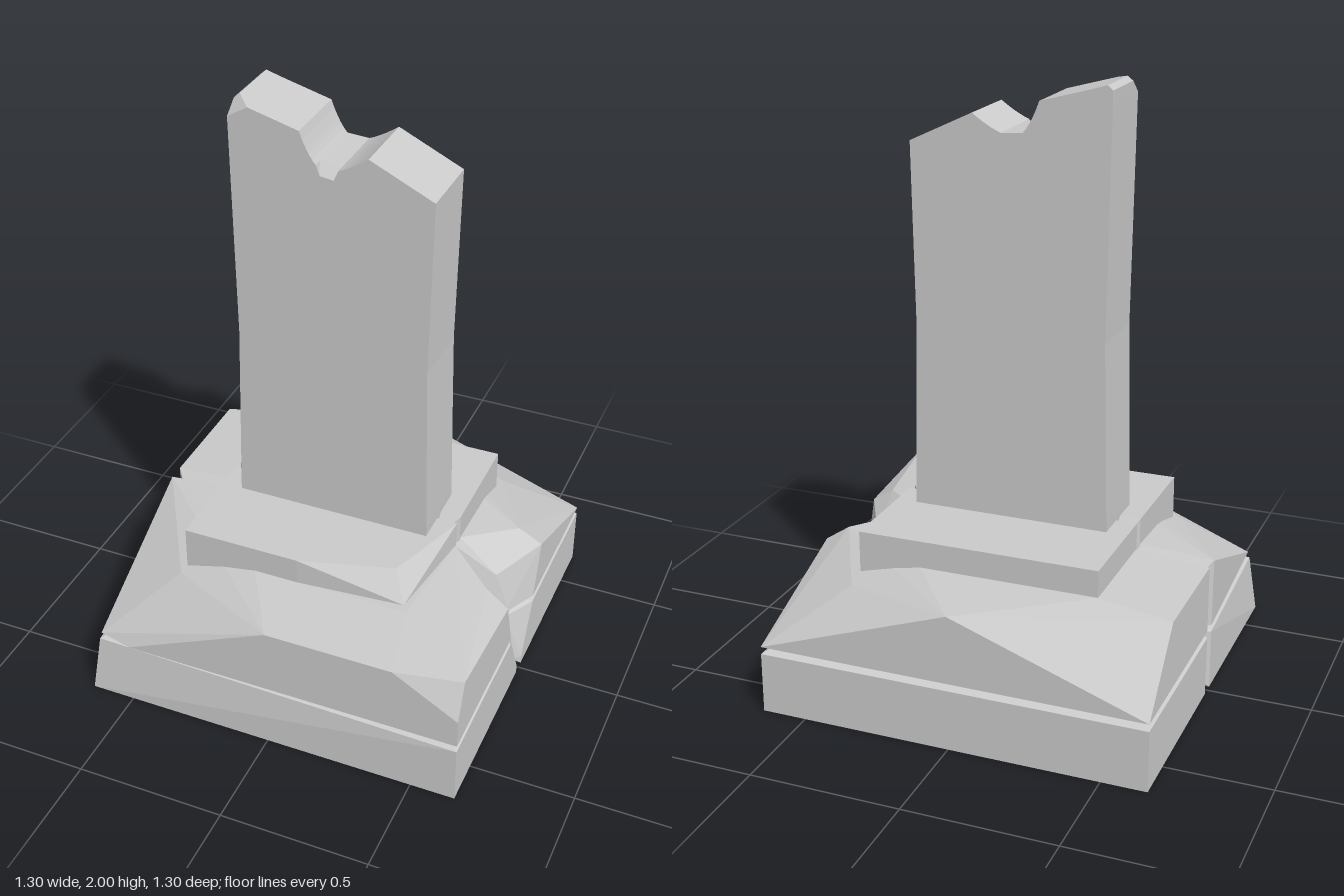
import * as THREE from 'three';
import { ConvexGeometry } from 'three/addons/geometries/ConvexGeometry.js';

const material = new THREE.MeshStandardMaterial({ color: 0xcccccc, flatShading: true });

// A chiselled stone: the flat-faced hull of a few corner points.
function stone(name, corners) {
  const geometry = new ConvexGeometry(corners.map((c) => new THREE.Vector3(...c)));
  const mesh = new THREE.Mesh(geometry, material);
  mesh.name = name;
  return mesh;
}

// Inset corners where two stones meet in a V-shaped horizontal joint.
const joint = (s, left, right) => [
  [-left, 0.22, s * left], [right, 0.22, s * 0.625], [-0.625, 0.22, s * 0.03], [0.61, 0.22, s * 0.1],
];

// Lower slabs, s = 1 front and s = -1 back, bevelled towards the seam at z = 0.
function lowerSlab(s) {
  const c = s > 0 ? 0.625 : 0.65;
  return stone(s > 0 ? 'frontLowerSlab' : 'backLowerSlab', [
    [-0.65, 0, s * 0.65], [0.65, 0, s * 0.65], [-0.65, 0, s * 0.025], [0.65, 0, s * 0.025],
    [-c, 0.205, s * c], [0.65, 0.205, s * 0.65], [-0.65, 0.205, s * 0.025],
    [0.65, 0.205, s * 0.12], [0.65, 0.03, s * 0.025],
    [-0.625, 0.03, 0], [0.625, 0.03, 0], [-0.625, 0.21, 0], [0.59, 0.21, 0],
    ...joint(s, 0.6, 0.625),
  ]);
}

// Corners shared by both upper slabs: the seam and the broken right-hand notch.
const seam = (s) => [
  [-0.65, 0.46, s * 0.028], [-0.65, 0.23, s * 0.025], [-0.4, 0.48, s * 0.025],
  [0.41, 0.48, s * 0.025], [0.57, 0.462, s * 0.17], [0.65, 0.41, s * 0.18], [0.65, 0.23, s * 0.12],
  [0.55, 0.38, 0], [0.59, 0.23, 0], [-0.625, 0.435, 0], [-0.625, 0.23, 0],
  [-0.4, 0.455, 0], [0.4, 0.455, 0],
];

const frontUpperSlab = () => stone('frontUpperSlab', [
  ...seam(1), ...joint(1, 0.6, 0.625),
  // big chip at the left corner
  [-0.62, 0.228, 0.62], [-0.41, 0.41, 0.43], [0, 0.46, 0.65], [-0.5, 0.23, 0.65],
  // small chip at the right corner
  [0.43, 0.46, 0.65], [0.49, 0.462, 0.54], [0.65, 0.455, 0.6], [0.65, 0.33, 0.65], [0.65, 0.23, 0.65],
  [-0.15, 0.48, 0.4], [0.38, 0.48, 0.4],
]);

const backUpperSlab = () => stone('backUpperSlab', [
  ...seam(-1), ...joint(-1, 0.625, 0.625),
  // big chip at the right corner, sloped left corner
  [0.65, 0.23, -0.65], [0.41, 0.41, -0.47], [0, 0.46, -0.65],
  [-0.65, 0.46, -0.43], [-0.65, 0.23, -0.65],
  [-0.4, 0.48, -0.4], [0.2, 0.48, -0.4],
]);

// Plinth halves under the pillar; the front one has a knocked-off corner.
function plinth(s) {
  const corner = s > 0
    ? [[0, 0.57, 0.4], [0.31, 0.57, 0.31], [0.36, 0.48, 0.37], [0.36, 0.4, 0.37], [0, 0.4, 0.4]]
    : [[0.41, 0.57, -0.405], [0.41, 0.38, -0.405]];
  return stone(s > 0 ? 'frontPlinth' : 'backPlinth', [
    [-0.4, 0.57, s * 0.4], [-0.4, 0.4, s * 0.4],
    [-0.4, 0.57, s * 0.018], [-0.4, 0.4, s * 0.018], [0.41, 0.57, s * 0.018], [0.41, 0.4, s * 0.018],
    [-0.385, 0.55, 0], [0.39, 0.55, 0], [-0.385, 0.4, 0], [0.39, 0.4, 0],
    ...corner,
  ]);
}

// Slightly waisted pillar with a broken top, and the chipped pieces of its edge.
function pillar() {
  const group = new THREE.Group();
  group.name = 'pillar';
  const outline = new THREE.Shape();
  outline.moveTo(-0.33, 0.5);
  outline.lineTo(0.34, 0.5);
  outline.lineTo(0.339, 0.6);
  outline.lineTo(0.325, 1.2);
  outline.lineTo(0.335, 1.79);
  outline.lineTo(0.125, 1.89);
  outline.quadraticCurveTo(0.07, 1.85, 0.03, 1.835);
  outline.lineTo(0.015, 1.8);
  outline.lineTo(-0.03, 1.807);
  outline.lineTo(-0.042, 1.84);
  outline.quadraticCurveTo(-0.07, 1.87, -0.095, 1.94);
  outline.lineTo(-0.26, 1.985);
  outline.lineTo(-0.327, 1.945);
  outline.lineTo(-0.315, 1.2);
  outline.lineTo(-0.329, 0.6);
  outline.closePath();
  const geometry = new THREE.ExtrudeGeometry(outline, { depth: 0.24, bevelEnabled: false, curveSegments: 5 });
  geometry.translate(0, 0, -0.12);
  const shaft = new THREE.Mesh(geometry, material);
  shaft.name = 'shaft';

  const peak = stone('chippedPeak', [
    [-0.327, 1.945, 0.12], [-0.26, 1.985, 0.12], [-0.31, 2, 0.065], [-0.327, 1.985, 0.07],
    [-0.327, 1.945, -0.12], [-0.26, 1.985, -0.12], [-0.31, 2, -0.12], [-0.327, 1.985, -0.12],
  ]);
  const dip = stone('chippedDip', [
    [0.015, 1.8, 0.12], [-0.03, 1.807, 0.12], [0.03, 1.835, 0.09], [-0.042, 1.84, 0.09],
    [0.015, 1.8, -0.12], [-0.03, 1.807, -0.12], [0.03, 1.835, -0.12], [-0.042, 1.84, -0.12],
  ]);
  group.add(shaft, peak, dip);
  return group;
}

export function createModel() {
  const model = new THREE.Group();
  model.name = 'brokenPillar';
  for (const s of [1, -1]) model.add(lowerSlab(s), plinth(s));
  model.add(frontUpperSlab(), backUpperSlab(), pillar());
  return model;
}
